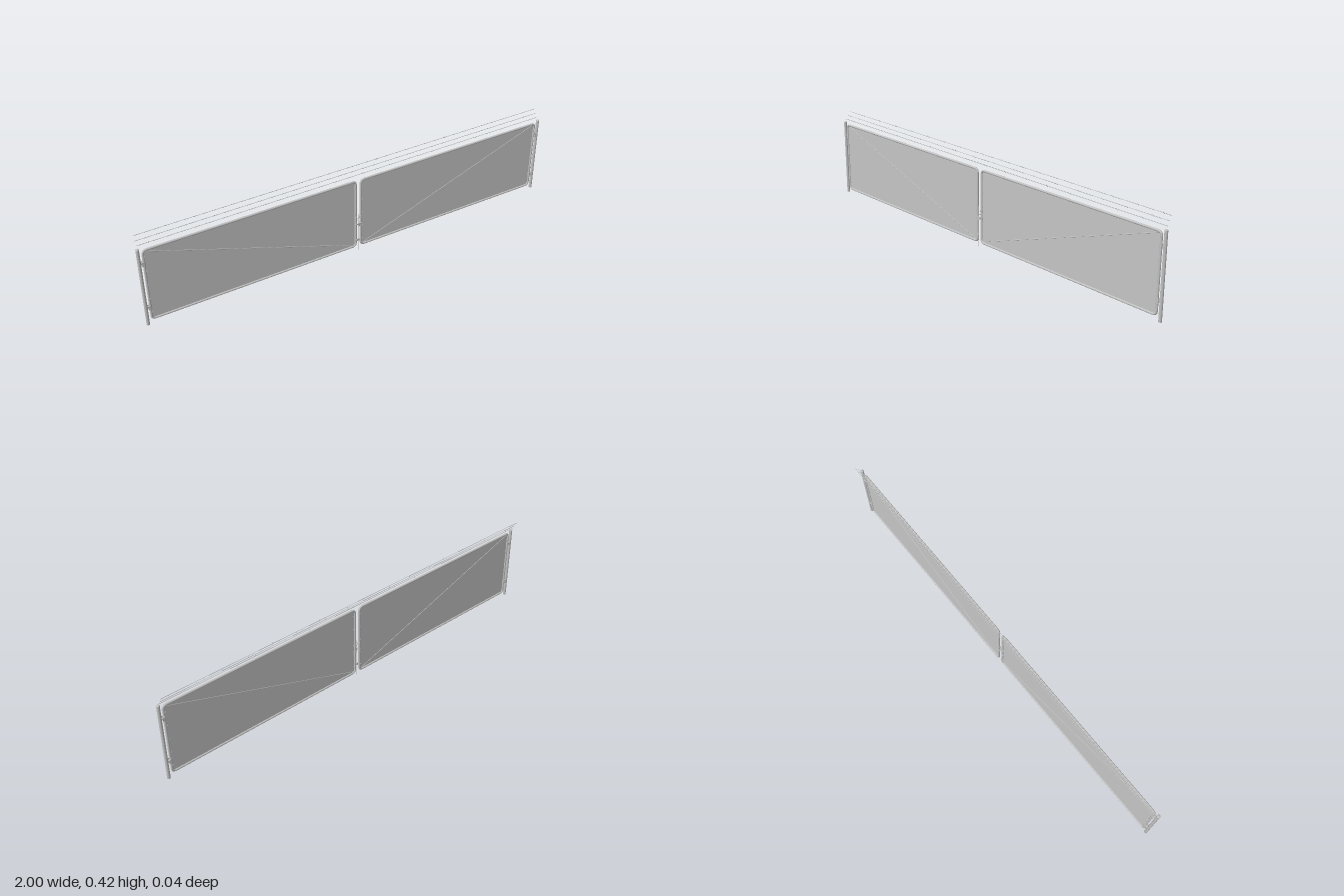
import * as THREE from 'three';

const Z = 0.01; // plane of the gate

export function createModel() {
  const gate = new THREE.Group();
  gate.name = 'doubleGate';
  const steel = new THREE.MeshStandardMaterial({ color: 0xc0c0c0 });
  steel.name = 'galvanised steel';
  const fabric = new THREE.MeshStandardMaterial({ color: 0xc5c5c5, side: THREE.DoubleSide });
  fabric.name = 'fence fabric grey';

  const add = (parent, name, geometry, x = 0, y = 0, z = 0, material = steel) => {
    const mesh = new THREE.Mesh(geometry, material);
    mesh.name = name;
    mesh.position.set(x, y, z);
    parent.add(mesh);
    return mesh;
  };
  // straight round bar between two points
  const bar = (parent, name, a, b, r, sides = 16) => {
    const from = new THREE.Vector3(...a), to = new THREE.Vector3(...b);
    const dir = to.clone().sub(from);
    const mid = from.clone().add(to).multiplyScalar(0.5);
    const mesh = add(parent, name, new THREE.CylinderGeometry(r, r, dir.length(), sides), mid.x, mid.y, mid.z);
    mesh.quaternion.setFromUnitVectors(new THREE.Vector3(0, 1, 0), dir.normalize());
    return mesh;
  };

  // closed tube path round a leaf, with rounded corners
  const framePath = (x0, x1, y0, y1, r) => {
    const path = new THREE.CurvePath();
    const v = (x, y) => new THREE.Vector3(x, y, Z);
    const corners = [[x0, y0], [x1, y0], [x1, y1], [x0, y1]];
    const steps = [[1, 0], [0, 1], [-1, 0], [0, -1]];
    corners.forEach(([x, y], i) => {
      const [dx, dy] = steps[i];
      const [nx, ny] = corners[(i + 1) % 4];
      const [ex, ey] = steps[(i + 1) % 4];
      const end = v(nx - dx * r, ny - dy * r);
      path.add(new THREE.LineCurve3(v(x + dx * r, y + dy * r), end));
      path.add(new THREE.QuadraticBezierCurve3(end, v(nx, ny), v(nx + ex * r, ny + ey * r)));
    });
    return path;
  };

  const inner = 0.013, outer = 0.972, low = 0.022, high = 0.357, postX = 0.991;
  for (const s of [-1, 1]) {
    const side = new THREE.Group();
    side.name = s > 0 ? 'leftSide' : 'rightSide';
    gate.add(side);

    // post with a shallow domed cap
    add(side, 'post', new THREE.CylinderGeometry(0.007, 0.007, 0.366, 32), s * postX, 0.183, Z);
    const cap = add(side, 'postCap', new THREE.SphereGeometry(0.0076, 32, 8, 0, Math.PI * 2, 0, Math.PI / 2), s * postX, 0.366, Z);
    cap.scale.y = 0.65;

    // leaf: tube frame, mesh sheet and diagonal brace
    const x0 = s > 0 ? inner : -outer, x1 = s > 0 ? outer : -inner;
    add(side, 'leafFrame', new THREE.TubeGeometry(framePath(x0, x1, low, high, 0.018), 500, 0.005, 24, true));
    add(side, 'meshSheet', new THREE.PlaneGeometry(x1 - x0 - 0.004, high - low - 0.004),
      (x0 + x1) / 2, (low + high) / 2, Z, fabric);
    bar(side, 'braceRod', [s * (outer - 0.006), high - 0.005, Z], [s * (inner + 0.006), low + 0.005, Z], 0.0016);
    add(side, 'turnbuckle', new THREE.BoxGeometry(0.016, 0.004, 0.005), s * 0.4925, 0.1895, Z)
      .rotation.z = s * Math.atan2(high - low, outer - inner);

    // ties along the upright tubes
    for (const x of [inner + 0.004, outer - 0.004]) {
      for (let i = 0; i < 5; i++) {
        add(side, 'tensionBand', new THREE.BoxGeometry(0.006, 0.003, 0.0104), s * x, 0.055 + i * 0.0675, Z);
      }
    }

    // hinges: frame sleeve, link, plate and pin between leaf and post
    for (const y of [0.083, 0.298]) {
      add(side, 'hingeSleeve', new THREE.CylinderGeometry(0.0065, 0.0065, 0.02, 24), s * outer, y, Z);
      add(side, 'hingeLink', new THREE.BoxGeometry(0.018, 0.009, 0.006), s * 0.981, y, Z);
      add(side, 'hingePlate', new THREE.BoxGeometry(0.007, 0.02, 0.003), s * 0.979, y, Z + 0.0085);
      add(side, 'hingeBack', new THREE.BoxGeometry(0.007, 0.016, 0.003), s * 0.979, y, Z - 0.0065);
      bar(side, 'hingePin', [s * 0.979, y, Z - 0.009], [s * 0.979, y, Z + 0.012], 0.002);
    }
    // latch collars on the meeting stile
    for (const y of [0.135, 0.17]) {
      add(side, 'latchCollar', new THREE.CylinderGeometry(0.0066, 0.0066, 0.01, 24), s * inner, y, Z);
    }
  }

  // centre latch and drop rod
  const latch = new THREE.Group();
  latch.name = 'latch';
  gate.add(latch);
  bar(latch, 'dropRod', [0, 0, Z + 0.005], [0, 0.19, Z + 0.005], 0.0015);
  add(latch, 'latchFork', new THREE.BoxGeometry(0.034, 0.006, 0.003), 0, 0.14, Z + 0.0085);
  add(latch, 'latchPlate', new THREE.BoxGeometry(0.01, 0.015, 0.004), 0, 0.135, Z + 0.008);
  add(latch, 'rodGuide', new THREE.BoxGeometry(0.016, 0.01, 0.003), -0.006, 0.055, Z + 0.0065);
  bar(latch, 'rodHandle', [0, 0.15, Z + 0.005], [0, 0.15, Z - 0.01], 0.0018);
  bar(latch, 'latchPin', [-0.014, 0.165, Z], [0.014, 0.165, Z], 0.0015);

  // three barbed strands leaning back above the gate
  const strands = [[0.381, 0.002], [0.398, -0.008], [0.417, -0.018]];
  strands.forEach(([y, z], row) => {
    const strand = new THREE.Group();
    strand.name = 'barbedStrand' + (row + 1);
    gate.add(strand);
    bar(strand, 'wire', [-0.99, y, z], [0.99, y, z], 0.0011, 12);
    for (let x = -0.94 + row * 0.04; x < 0.98; x += 0.121) {
      bar(strand, 'barb', [x - 0.002, y + 0.005, z + 0.003], [x + 0.002, y - 0.005, z - 0.003], 0.0005, 6);
    }
  });
  return gate;
}
